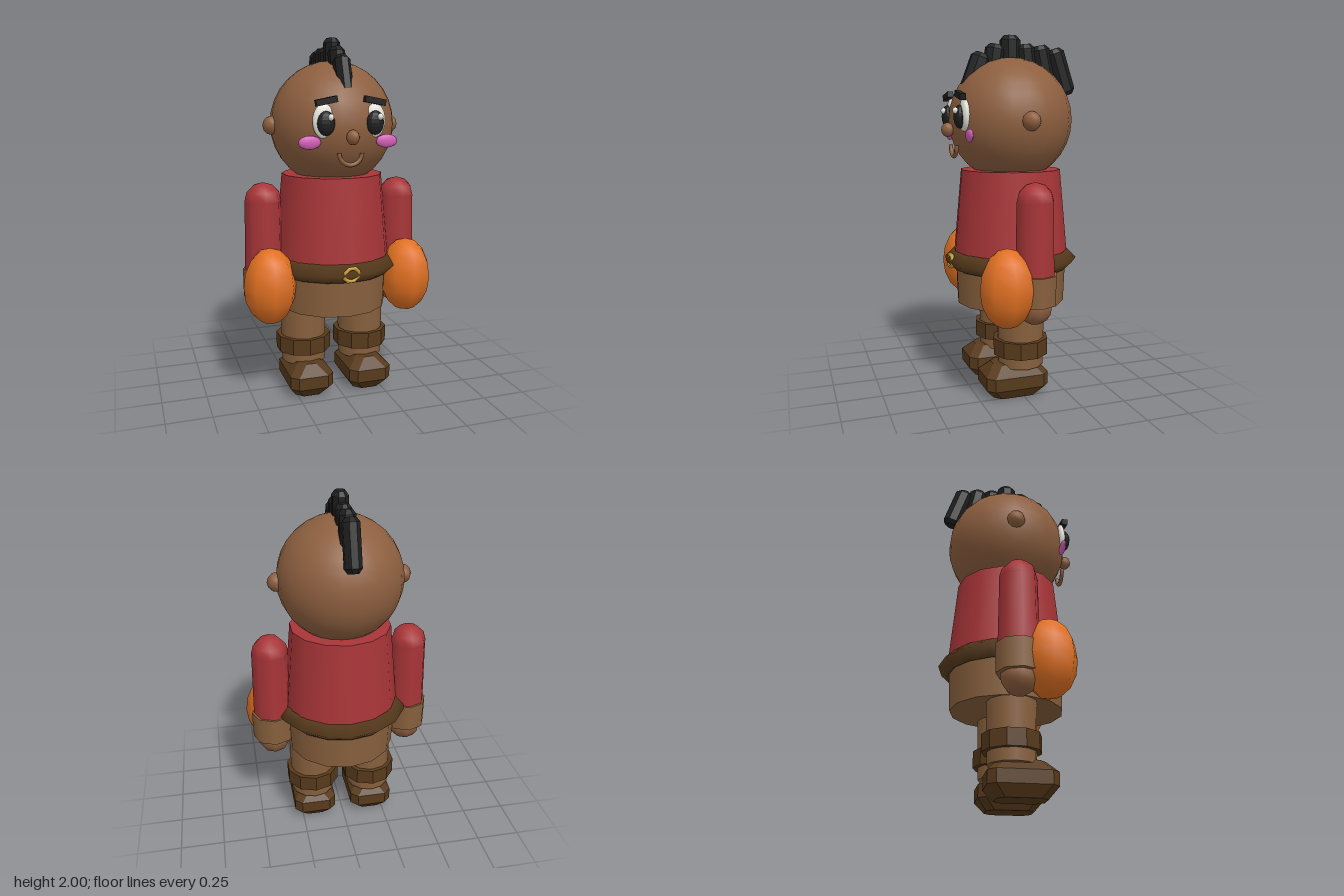
import * as THREE from 'three';

const mat = (name, color, flatShading = false) => {
  const m = new THREE.MeshStandardMaterial({ color, flatShading });
  m.name = name;
  return m;
};

// Depth of the body's vertical axis
const AXIS = -0.007;

export function createModel() {
  const skin = mat('skin', 0x8d5f3f);
  const cloth = mat('trouser brown', 0x88603d);
  const red = mat('shirt red', 0xa83538);
  const orange = mat('mitt orange', 0xe07022);
  const leather = mat('leather brown', 0x573a1c, true);
  const beltBrown = mat('belt brown', 0x573a1c);
  const black = mat('black', 0x1f1f20, true);
  const white = mat('eye white', 0xe6e6dc);
  const pink = mat('cheek pink', 0xd45fb8);
  const gold = mat('buckle gold', 0xc49a30);

  const model = new THREE.Group();
  model.name = 'figure';
  const add = (name, geometry, material, x = 0, y = 0, z = AXIS) => {
    const mesh = new THREE.Mesh(geometry, material);
    mesh.name = name;
    mesh.position.set(x, y, z);
    model.add(mesh);
    return mesh;
  };
  const ball = (name, material, pos, radii, w = 8, h = 6) => {
    const mesh = add(name, new THREE.SphereGeometry(1, w, h), material, ...pos);
    mesh.scale.set(...radii);
    return mesh;
  };
  // Upright tapered cylinder between two heights
  const column = (name, material, x, y0, y1, r0, r1, sides) =>
    add(name, new THREE.CylinderGeometry(r1, r0, y1 - y0, sides), material, x, (y0 + y1) / 2);

  // Torso, belt and hips
  column('shirt', red, 0, 0.74, 1.26, 0.332, 0.284, 14);
  column('hips', cloth, 0, 0.5, 0.75, 0.31, 0.32, 14);
  const belt = add('belt', new THREE.TorusGeometry(0.328, 0.052, 4, 16), beltBrown, 0, 0.75);
  belt.rotation.x = Math.PI / 2;
  const buckle = add('buckle', new THREE.TorusGeometry(0.042, 0.013, 6, 8), gold, 0, 0.75, 0.347);
  buckle.rotation.z = Math.PI / 8;
  buckle.scale.set(1, 0.85, 1);

  // Head and face
  ball('head', skin, [0, 1.535, AXIS], [0.346, 0.345, 0.347], 22, 16);
  ball('nose', skin, [0, 1.483, 0.355], [0.037, 0.04, 0.037]);
  const mouth = add('mouth', new THREE.TorusGeometry(0.063, 0.012, 6, 14, Math.PI), skin, 0, 1.4, 0.322);
  mouth.rotation.z = Math.PI;

  // Chamfered shoe built from stacked eight-cornered rings
  const shoe = () => {
    const rings = [[0, 0.085, 0.13], [0.06, 0.125, 0.18], [0.13, 0.125, 0.18], [0.19, 0.068, 0.125]];
    const pos = [], index = [];
    for (const [y, hx, hz] of rings) {
      const c = 0.04;
      pos.push(hx, y, hz - c, hx - c, y, hz, c - hx, y, hz, -hx, y, hz - c,
        -hx, y, c - hz, c - hx, y, -hz, hx - c, y, -hz, hx, y, c - hz);
    }
    for (let r = 0; r < 3; r++) for (let i = 0; i < 8; i++) {
      const a = r * 8 + i, b = r * 8 + (i + 1) % 8;
      index.push(a, a + 8, b, b, a + 8, b + 8);
    }
    // Sole and top
    for (let i = 1; i < 7; i++) index.push(0, i, i + 1, 24, 24 + i + 1, 24 + i);
    const g = new THREE.BufferGeometry();
    g.setAttribute('position', new THREE.Float32BufferAttribute(pos, 3));
    g.setIndex(index);
    g.computeVertexNormals();
    return g;
  };
  const shoeGeometry = shoe();

  for (const [side, s] of [['left', 1], ['right', -1]]) {
    // Face details
    ball(side + 'Ear', skin, [s * 0.345, 1.531, AXIS], [0.05, 0.052, 0.052]);
    ball(side + 'Eye', white, [s * 0.14, 1.565, 0.298], [0.06, 0.09, 0.026], 16, 12);
    ball(side + 'Pupil', black, [s * 0.134, 1.554, 0.322], [0.048, 0.063, 0.032], 14, 10);
    ball(side + 'EyeGlint', white, [s * 0.134 + 0.018, 1.586, 0.35], [0.016, 0.018, 0.016]);
    ball(side + 'Cheek', pink, [s * 0.213, 1.456, 0.291], [0.061, 0.036, 0.016], 12, 8);
    const brow = add(side + 'Brow', new THREE.BoxGeometry(0.115, 0.032, 0.033), black, s * 0.132, 1.667, 0.318);
    brow.rotation.z = -s * 0.19;

    // Arm, cuff, hand and mitt
    ball(side + 'Shoulder', red, [s * 0.4, 1.115, AXIS], [0.105, 0.105, 0.105], 8, 6);
    column(side + 'Sleeve', red, s * 0.4, 0.73, 1.115, 0.11, 0.103, 8);
    column(side + 'Cuff', cloth, s * 0.4, 0.575, 0.735, 0.12, 0.122, 8);
    ball(side + 'Hand', skin, [s * 0.4, 0.56, AXIS], [0.097, 0.097, 0.097], 8, 8);
    ball(side + 'Mitt', orange, [s * 0.4, 0.668, 0.146], [0.148, 0.213, 0.15], 8, 8);

    // Leg, ankle band and shoe
    column(side + 'Leg', cloth, s * 0.175, 0.17, 0.55, 0.128, 0.136, 12);
    column(side + 'AnkleBand', leather, s * 0.175, 0.235, 0.327, 0.157, 0.157, 10);
    add(side + 'Shoe', shoeGeometry, leather, s * 0.175, 0, 0.037);
  }

  // Crest of chamfered hair spikes: z, y, tilt, length
  const spikes = [
    [0.195, 1.79, -0.36, 0.23], [0.095, 1.825, -0.16, 0.25], [-0.007, 1.875, 0, 0.25],
    [-0.105, 1.83, 0.1, 0.25], [-0.205, 1.822, 0.2, 0.26], [-0.308, 1.805, 0.32, 0.27]
  ];
  for (const [z, y, tilt, length] of spikes) {
    const h = length / 2;
    const profile = [[0, -h], [0.028, -h], [0.046, -h + 0.025], [0.046, h - 0.025], [0.028, h], [0, h]]
      .map(([r, v]) => new THREE.Vector2(r, v));
    const spike = add('hairSpike', new THREE.LatheGeometry(profile, 8, Math.PI / 8), black, 0, y, z);
    spike.rotation.x = tilt;
    spike.scale.z = 1.28;
  }
  return model;
}
